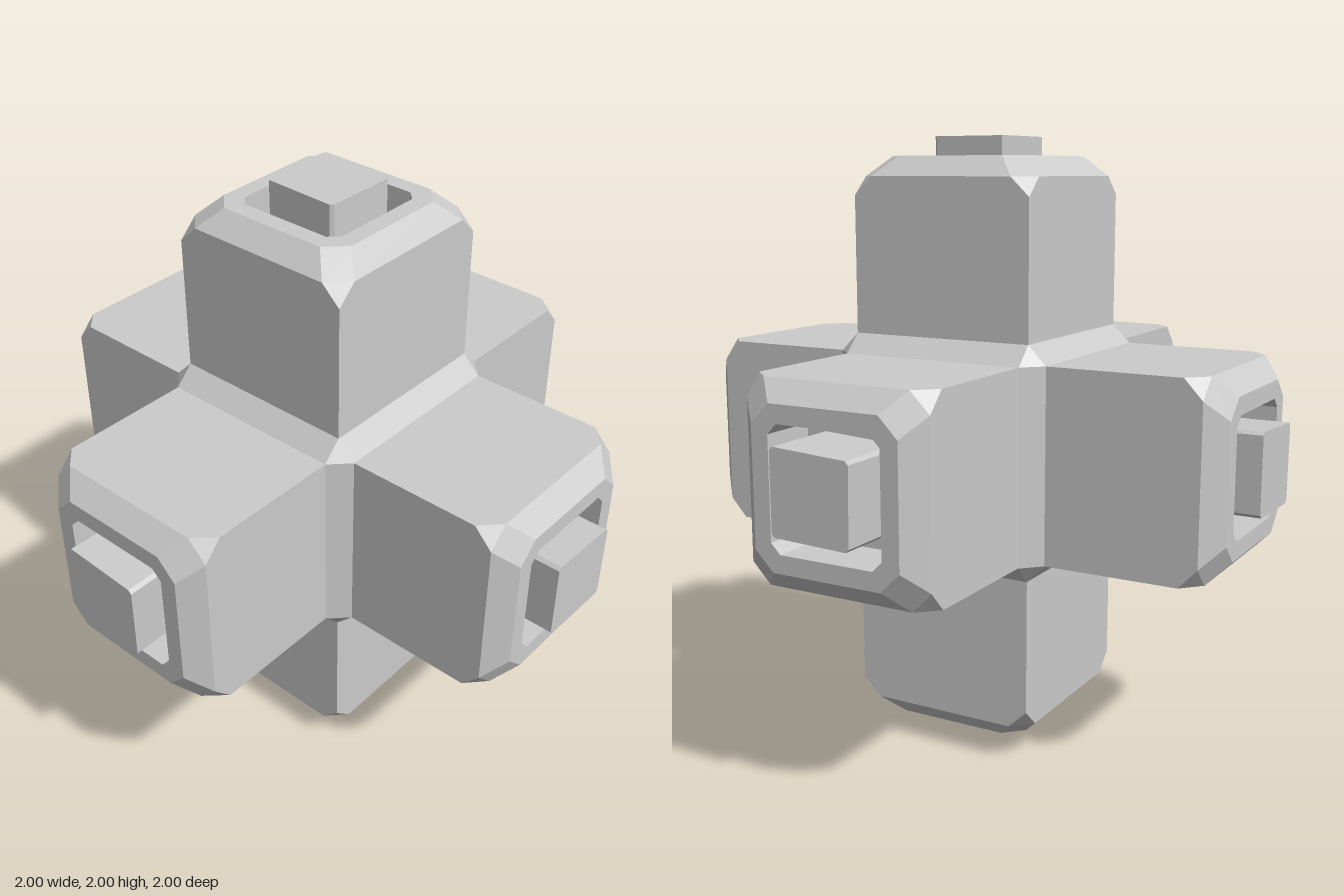
import * as THREE from 'three';
import { ConvexGeometry } from 'three/addons/geometries/ConvexGeometry.js';

const material = new THREE.MeshStandardMaterial({ color: 0xcccccc, flatShading: true });

// Square ring with cut corners: h is the half width, c the half length of each side
function ring(z, h, c) {
  return [[h, -c], [h, c], [c, h], [-c, h], [-h, c], [-h, -c], [-c, -h], [c, -h]]
    .map(([x, y]) => new THREE.Vector3(x, y, z));
}

// Skin consecutive rings, then close the last one
function loft(rings) {
  const points = [];
  const tri = (a, b, c) => {
    const area = b.clone().sub(a).cross(c.clone().sub(a)).length();
    if (area > 1e-7) points.push(a, b, c);
  };
  for (let r = 0; r < rings.length - 1; r++) {
    const p = rings[r], q = rings[r + 1];
    for (let i = 0; i < p.length; i++) {
      const j = (i + 1) % p.length;
      tri(p[i], p[j], q[j]);
      tri(p[i], q[j], q[i]);
    }
  }
  const last = rings[rings.length - 1];
  for (let i = 1; i < last.length - 1; i++) tri(last[0], last[i], last[i + 1]);
  const geometry = new THREE.BufferGeometry().setFromPoints(points);
  geometry.computeVertexNormals();
  return geometry;
}

// Chamfered cube at the centre
function coreGeometry() {
  const a = 0.375, b = 0.314, points = [];
  for (const x of [-1, 1]) for (const y of [-1, 1]) for (const z of [-1, 1]) {
    points.push(
      new THREE.Vector3(a * x, b * y, b * z),
      new THREE.Vector3(b * x, a * y, b * z),
      new THREE.Vector3(b * x, b * y, a * z));
  }
  return new ConvexGeometry(points);
}

// Arm along +z with bevelled end and a recessed socket
const armGeometry = () => loft([
  ring(0.36, 0.314, 0.314),
  ring(0.815, 0.314, 0.314),
  ring(0.875, 0.314, 0.25),
  ring(0.938, 0.25, 0.187),
  ring(0.938, 0.192, 0.16),
  ring(0.75, 0.192, 0.16),
]);

// Slightly uneven square peg with tiny corner cuts
function pegGeometry() {
  const corners = [[-0.137, -0.12], [0.127, -0.129], [0.131, 0.128], [-0.137, 0.143]]
    .map(([x, y]) => new THREE.Vector2(x, y));
  const outline = corners.flatMap((p, i) => [
    p.clone().lerp(corners[(i + 3) % 4], 0.04),
    p.clone().lerp(corners[(i + 1) % 4], 0.04),
  ]);
  return new THREE.ExtrudeGeometry(new THREE.Shape(outline), { depth: 0.25, bevelEnabled: false })
    .translate(0, 0, 0.75);
}

export function createModel() {
  const model = new THREE.Group();
  model.name = 'sixArmConnector';
  const add = (parent, geometry, name) => {
    const mesh = new THREE.Mesh(geometry, material);
    mesh.name = name;
    parent.add(mesh);
  };
  add(model, coreGeometry(), 'core');

  // One arm with its peg, turned to each of the six directions
  const arm = armGeometry(), peg = pegGeometry(), q = Math.PI / 2;
  const turns = {
    front: [0, 0], left: [0, q], back: [0, 2 * q], right: [0, -q], top: [-q, 0], bottom: [q, 0],
  };
  for (const [side, [rx, ry]] of Object.entries(turns)) {
    const group = new THREE.Group();
    group.name = side + 'Arm';
    add(group, arm, side + 'ArmBlock');
    add(group, peg, side + 'Peg');
    group.rotation.set(rx, ry, 0);
    model.add(group);
  }
  model.children.forEach((part) => { part.position.y = 1; });
  return model;
}
